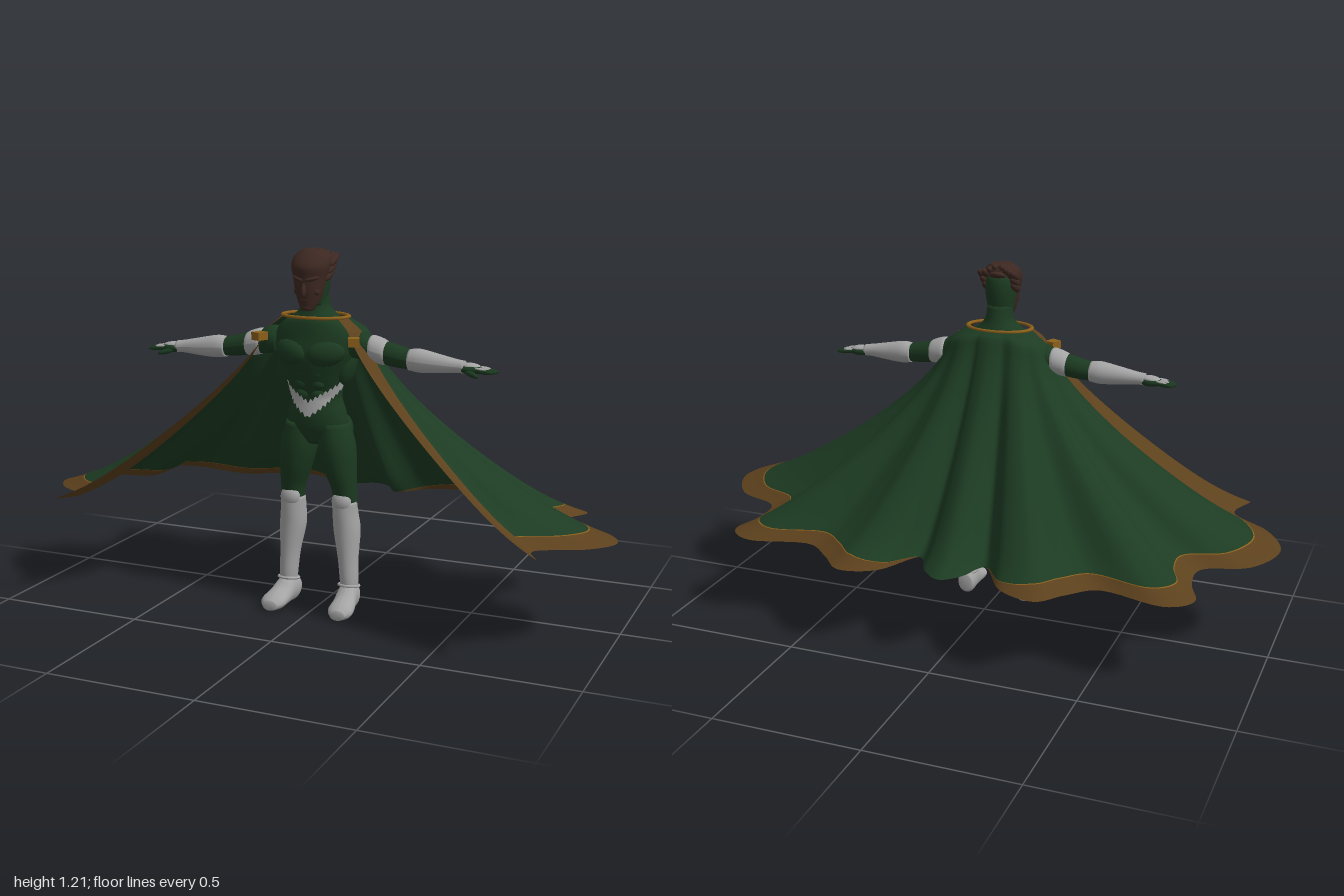
import * as THREE from 'three';

const paint = (name, color, side = THREE.FrontSide) => {
  const m = new THREE.MeshStandardMaterial({ color, side });
  m.name = name;
  return m;
};

// Grid surface from a rule fn(u, v), u and v in 0..1
function patch(fn, nu, nv) {
  const pos = [], idx = [];
  for (let i = 0; i <= nu; i++) for (let j = 0; j <= nv; j++) pos.push(...fn(i / nu, j / nv));
  for (let i = 0; i < nu; i++) for (let j = 0; j < nv; j++) {
    const a = i * (nv + 1) + j, b = a + nv + 1;
    idx.push(a, b, a + 1, b, b + 1, a + 1);
  }
  const g = new THREE.BufferGeometry();
  g.setAttribute('position', new THREE.Float32BufferAttribute(pos, 3));
  g.setIndex(idx);
  g.computeVertexNormals();
  return g;
}

// Smooth closed limb through elliptical rings [t, a, b, ra, rb] along an axis.
// Cross-section order: y -> (x, z), x -> (z, y), z -> (y, x)
function loft(axis, rings, seg = 24) {
  const mid = new THREE.CatmullRomCurve3(rings.map(r => new THREE.Vector3(r[0], r[1], r[2])), false, 'catmullrom');
  const rad = new THREE.CatmullRomCurve3(rings.map(r => new THREE.Vector3(r[3], r[4], 0)), false, 'catmullrom');
  const n = (rings.length - 1) * 5;
  return patch((u, v) => {
    const k = Math.round(u * (n + 2)) - 1;
    const s = Math.min(Math.max(k / n, 0), 1);
    const c = mid.getPoint(s), r = rad.getPoint(s);
    if (k < 0 || k > n) r.set(0, 0, 0); // end caps
    const w = v * Math.PI * 2;
    const a = c.y + r.x * Math.cos(w), b = c.z + r.y * Math.sin(w);
    return axis === 'y' ? [a, c.x, b] : axis === 'x' ? [c.x, b, a] : [b, a, c.x];
  }, n + 2, seg);
}

function blob([x, y, z], [rx, ry, rz], rot = [0, 0, 0]) {
  const g = new THREE.SphereGeometry(1, 18, 12).scale(rx, ry, rz);
  return g.rotateX(rot[0]).rotateY(rot[1]).rotateZ(rot[2]).translate(x, y, z);
}

function mirrored(geo) {
  const g = geo.clone().scale(-1, 1, 1);
  g.setIndex(Array.from(geo.index.array).reverse());
  g.computeVertexNormals();
  return g;
}

export function createModel() {
  const model = new THREE.Group();
  const suit = paint('suit green', 0x1b3920);
  const cloth = paint('cape green', 0x1d3c23, THREE.DoubleSide);
  const trim = paint('trim brown', 0x5d411d, THREE.DoubleSide);
  const armour = paint('armour grey', 0xa4a4a4, THREE.DoubleSide);
  const mask = paint('mask brown', 0x3d2821);
  const gold = paint('gold', 0x8a5f1a, THREE.DoubleSide);

  const add = (name, geo, mat) => {
    const m = new THREE.Mesh(geo, mat);
    m.name = name;
    model.add(m);
  };
  const pair = (name, geo, mat) => {
    add('left ' + name, geo, mat);
    add('right ' + name, mirrored(geo), mat);
  };

  // Torso and neck
  add('torso', loft('y', [
    [0.57, 0, 0.13, 0.04, 0.045], [0.62, 0, 0.13, 0.1, 0.068], [0.67, 0, 0.133, 0.1, 0.07],
    [0.73, 0, 0.135, 0.085, 0.063], [0.8, 0, 0.14, 0.105, 0.078], [0.87, 0, 0.145, 0.135, 0.086],
    [0.93, 0, 0.145, 0.14, 0.076], [0.97, 0, 0.144, 0.112, 0.07], [0.99, 0, 0.143, 0.08, 0.064],
    [1.02, 0, 0.145, 0.05, 0.054], [1.07, 0, 0.15, 0.042, 0.046]], 32), suit);
  pair('chest muscle', blob([0.06, 0.878, 0.206], [0.064, 0.042, 0.032], [0, 0.3, 0.15]), suit);
  for (let i = 0; i < 3; i++)
    pair('belly muscle', blob([0.026, 0.812 - i * 0.037, 0.202 - i * 0.006], [0.026, 0.02, 0.016]), suit);
  pair('side muscle', blob([0.1, 0.83, 0.13], [0.032, 0.075, 0.05], [0, 0, -0.25]), suit);
  pair('buttock', blob([0.05, 0.61, 0.085], [0.055, 0.06, 0.042]), suit);
  pair('shoulder muscle', blob([0.155, 0.905, 0.14], [0.055, 0.045, 0.05], [0, 0, -0.2]), suit);

  // Jagged pointed belt wrapped on the hips
  add('belt', patch((u, v) => {
    const a = (u - 0.5) * 2.8, k = Math.abs(a) / 1.4;
    const tooth = Math.round(u * 32) % 2 ? 0.008 : -0.003;
    const y = 0.692 + 0.085 * k + (v - 0.5) * (0.046 - 0.022 * k) + (v === 1 ? tooth : v === 0 ? -tooth : 0);
    const d = Math.abs(0.73 - y);
    return [(0.091 + 0.25 * d) * Math.sin(a), y, 0.136 + (0.074 + 0.12 * d) * Math.cos(a)];
  }, 32, 4), armour);

  // Legs, tall boots and feet
  pair('thigh', loft('y', [
    [0.33, 0.097, 0.118, 0.038, 0.042], [0.41, 0.093, 0.125, 0.041, 0.047], [0.48, 0.08, 0.13, 0.053, 0.06],
    [0.56, 0.068, 0.13, 0.062, 0.068], [0.64, 0.058, 0.13, 0.05, 0.06]]), suit);
  pair('boot', loft('y', [
    [0.03, 0.112, 0.125, 0.024, 0.028], [0.1, 0.111, 0.128, 0.03, 0.036], [0.18, 0.106, 0.125, 0.034, 0.04],
    [0.27, 0.099, 0.117, 0.044, 0.051], [0.33, 0.095, 0.122, 0.042, 0.05], [0.375, 0.094, 0.128, 0.041, 0.046]]), armour);
  pair('knee guard', blob([0.093, 0.378, 0.152], [0.034, 0.036, 0.025]), armour);
  pair('ankle cuff', new THREE.TorusGeometry(0.034, 0.005, 8, 24).rotateX(1.4).translate(0.111, 0.085, 0.13), armour);
  pair('foot', loft('z', [
    [0.085, 0.045, 0.107, 0.03, 0.025], [0.11, 0.05, 0.109, 0.05, 0.034], [0.15, 0.048, 0.112, 0.048, 0.035],
    [0.19, 0.034, 0.118, 0.034, 0.04], [0.235, 0.026, 0.122, 0.026, 0.042], [0.262, 0.02, 0.122, 0.016, 0.025]]), armour);

  // Arms with upper bands and long gauntlets
  pair('upper arm', loft('x', [
    [0.13, 0.14, 0.905, 0.045, 0.045], [0.2, 0.14, 0.892, 0.04, 0.04], [0.27, 0.142, 0.878, 0.038, 0.037],
    [0.32, 0.145, 0.87, 0.033, 0.033], [0.36, 0.147, 0.868, 0.03, 0.03]]), suit);
  pair('arm band', loft('x', [
    [0.188, 0.14, 0.898, 0.035, 0.034], [0.2, 0.14, 0.894, 0.045, 0.044],
    [0.235, 0.141, 0.886, 0.043, 0.042], [0.252, 0.141, 0.882, 0.036, 0.036]]), armour);
  pair('gauntlet', loft('x', [
    [0.325, 0.146, 0.868, 0.034, 0.034], [0.36, 0.147, 0.867, 0.036, 0.038], [0.42, 0.15, 0.863, 0.03, 0.031],
    [0.48, 0.152, 0.86, 0.023, 0.022], [0.51, 0.153, 0.858, 0.022, 0.02]]), armour);
  pair('hand', blob([0.53, 0.853, 0.153], [0.042, 0.016, 0.027]), suit);
  pair('hand guard', blob([0.53, 0.862, 0.152], [0.034, 0.011, 0.022], [0, 0, -0.08]), armour);
  for (let i = 0; i < 4; i++) {
    const x = 0.582 - Math.abs(i - 1.3) * 0.006, z = 0.136 + i * 0.012, turn = [0, 0.1 - i * 0.07, -0.1];
    pair('finger', blob([x, 0.851, z], [0.038, 0.008, 0.007], turn), suit);
    pair('finger guard', blob([x - 0.006, 0.857, z], [0.022, 0.005, 0.005], turn), armour);
  }
  pair('thumb', blob([0.54, 0.842, 0.18], [0.03, 0.009, 0.009], [0, -0.4, -0.25]), suit);

  // Head with a mask over the face
  add('head', loft('y', [
    [1.03, 0, 0.16, 0.038, 0.045], [1.07, 0, 0.158, 0.046, 0.054], [1.12, 0, 0.157, 0.053, 0.058],
    [1.16, 0, 0.155, 0.048, 0.05], [1.18, 0, 0.155, 0.03, 0.03]]), suit);
  add('mask', loft('y', [
    [1.016, 0, 0.213, 0.02, 0.018], [1.045, 0, 0.2, 0.036, 0.036], [1.08, 0, 0.195, 0.047, 0.046],
    [1.12, 0, 0.19, 0.055, 0.052], [1.155, 0, 0.185, 0.063, 0.06], [1.185, 0, 0.172, 0.06, 0.052],
    [1.206, 0, 0.165, 0.036, 0.036]], 28), mask);
  add('nose', blob([0, 1.085, 0.239], [0.008, 0.024, 0.013], [-0.3, 0, 0]), mask);
  add('lips', blob([0, 1.05, 0.231], [0.016, 0.005, 0.007]), mask);
  add('chin', blob([0, 1.026, 0.222], [0.017, 0.011, 0.012]), mask);
  pair('brow', blob([0.024, 1.118, 0.232], [0.024, 0.007, 0.01], [0, 0.4, 0.25]), mask);
  pair('cheek', blob([0.03, 1.077, 0.216], [0.015, 0.014, 0.013], [0, 0.4, 0]), mask);

  // Swept-back crest of hair
  for (let i = 0; i < 3; i++) {
    pair('side tuft', blob([0.051 + i * 0.003, 1.128 + i * 0.022, 0.157 - i * 0.012],
      [0.013, 0.014, 0.038], [0.45, 0, 0]), mask);
    pair('top tuft', blob([0.013 + i * 0.016, 1.192 - i * 0.009, 0.15 - i * 0.008],
      [0.014, 0.014, 0.036], [0.3 + i * 0.1, 0, 0]), mask);
  }
  add('back tuft', blob([0, 1.172, 0.123], [0.03, 0.012, 0.028], [0.4, 0, 0]), mask);

  // Cape: scalloped hem and shoulder line, left half from front edge to centre back
  const hemHalf = [[0.835, 0.447], [0.8, 0.34], [0.935, 0.24], [1, 0.107], [0.93, -0.03], [0.785, -0.09],
    [0.775, -0.19], [0.81, -0.3], [0.72, -0.36], [0.52, -0.322], [0.42, -0.385], [0.337, -0.455],
    [0.21, -0.417], [0.118, -0.294], [0.064, -0.374], [0, -0.417]];
  const topHalf = [[0.14, 0.21], [0.172, 0.15], [0.178, 0.14], [0.182, 0.13], [0.18, 0.115], [0.172, 0.1],
    [0.165, 0.09], [0.16, 0.08], [0.15, 0.07], [0.13, 0.058], [0.115, 0.048], [0.1, 0.043],
    [0.08, 0.042], [0.05, 0.048], [0.03, 0.041], [0, 0.036]];
  const full = half => new THREE.CatmullRomCurve3(
    half.concat(half.slice(0, -1).reverse().map(([x, z]) => [-x, z]))
      .map(([x, z]) => new THREE.Vector3(x, 0, z)), false, 'catmullrom');
  const hem = full(hemHalf), top = full(topHalf), N = 30;

  // u runs along the hem (0..30); d is 0 at the shoulders, 1 at the hem, below 0 up to the collar
  const cape = (u, d) => {
    const h = hem.getPoint(u / N), t = top.getPoint(u / N);
    h.y = 0.325 + 0.078 * h.z;
    t.y = 0.975 - 1.1 * t.x * t.x;
    if (d < 0) {
      const a = Math.atan2(t.x / 0.11, (t.z - 0.148) / 0.078);
      t.lerp(new THREE.Vector3(0.11 * Math.sin(a), 0.992, 0.148 + 0.076 * Math.cos(a)), -d / 0.1);
      return t.toArray();
    }
    // Hanging slope that flares out flatter at the rim
    const e = 1.25 + 0.25 * Math.abs(h.x) - 0.5 * Math.max(0, h.z - 0.1);
    const f = 0.92 * Math.pow(d, e) + 0.08 * Math.pow(d, 14);
    return [t.x + (h.x - t.x) * f, t.y + (h.y - t.y) * d, t.z + (h.z - t.z) * f];
  };
  // Hem trim width fades out beside the centre back fold
  const width = u => 0.05 * Math.min(1, Math.max(0, (13 - Math.min(u, N - u)) / 2));
  const panel = (u0, u1, d0, d1, nu, nv) => patch((p, q) => {
    const u = u0 + (u1 - u0) * p, a = d0(u), b = d1(u);
    return cape(u, a + (b - a) * q);
  }, nu, nv);
  const collarLine = () => -0.1, hemLine = () => 1;
  const seam = u => 1 - width(u), pipingLine = u => 1 - width(u) * 1.06;
  add('cape', panel(1, N - 1, collarLine, pipingLine, 168, 36), cloth);
  for (const [side, u0, u1] of [['left', 1, 13], ['right', N - 13, N - 1]]) {
    add(side + ' hem piping', panel(u0, u1, pipingLine, seam, 72, 1), gold);
    add(side + ' hem trim', panel(u0, u1, seam, hemLine, 72, 5), trim);
  }
  for (const [side, u0] of [['left', 0], ['right', N - 1]])
    add(side + ' front trim', panel(u0, u0 + 1, collarLine, hemLine, 6, 40), trim);

  // Collar ring and chest clasps
  const collar = new THREE.TorusGeometry(1, 0.07, 8, 48).rotateX(Math.PI / 2).scale(0.112, 0.08, 0.076);
  add('collar', collar.translate(0, 0.992, 0.147), gold);
  pair('clasp', new THREE.BoxGeometry(0.036, 0.026, 0.04).rotateY(0.4).translate(0.165, 0.925, 0.225), gold);

  return model;
}
